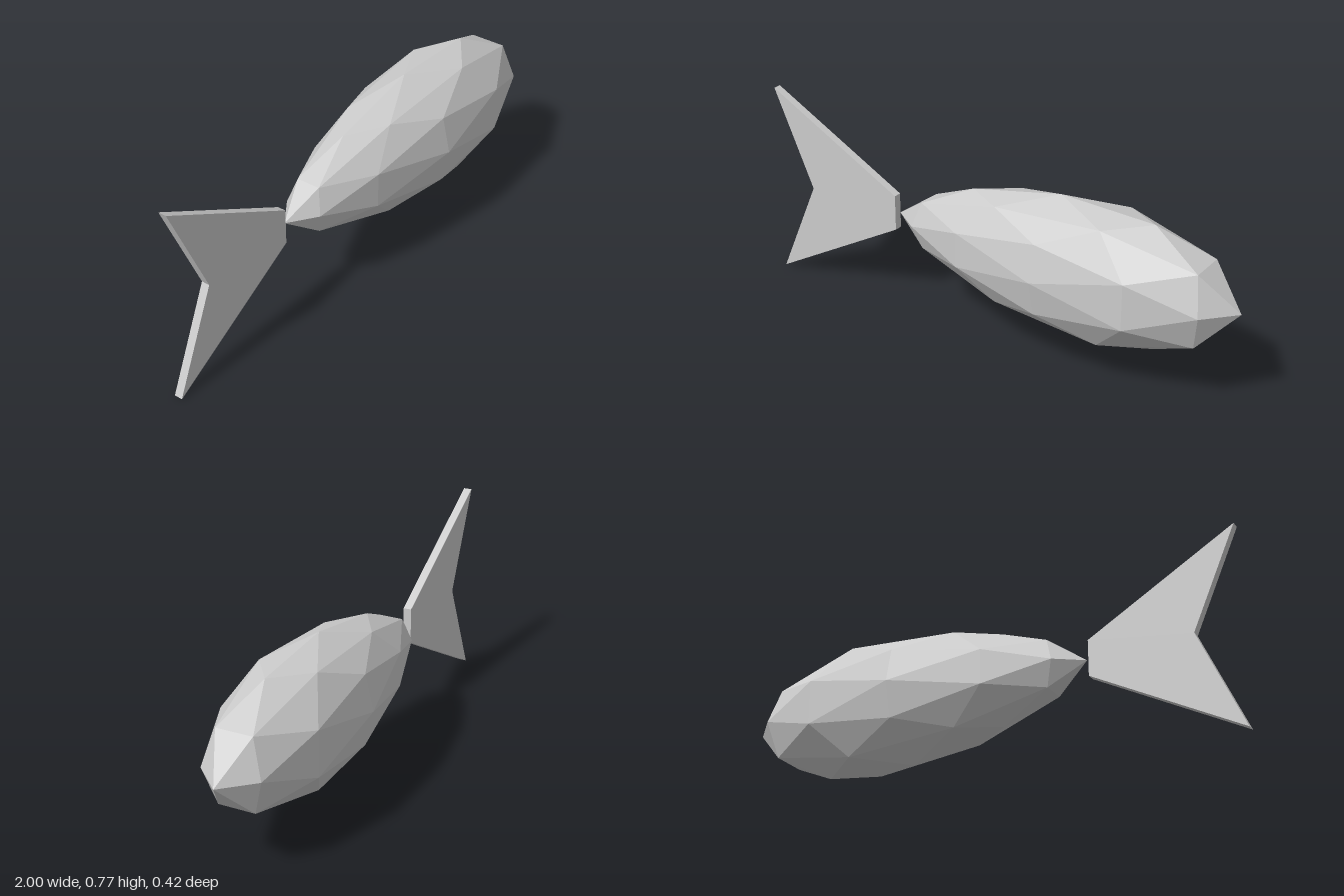
import * as THREE from 'three';

const MID_Y = 0.384;

// Girth of the body along its length: [position from tail -1 to nose +1, factor]
const GIRTH = [
  [-0.851, 0.68], [-0.809, 0.72], [-0.526, 0.84], [0, 1],
  [0.309, 1.06], [0.526, 1.095], [0.809, 1.08], [0.851, 1.02],
];

function girthAt(t) {
  if (t <= GIRTH[0][0]) return GIRTH[0][1];
  for (let i = 1; i < GIRTH.length; i++) {
    const [a, ga] = GIRTH[i - 1], [b, gb] = GIRTH[i];
    if (t <= b) return THREE.MathUtils.lerp(ga, gb, (t - a) / (b - a));
  }
  return GIRTH[GIRTH.length - 1][1];
}

// Faceted ball stretched along x, fuller at the nose and slimmer at the tail
function makeBody(material) {
  const geometry = new THREE.IcosahedronGeometry(1, 1);
  const p = geometry.attributes.position;
  for (let i = 0; i < p.count; i++) {
    const x = p.getX(i), g = girthAt(x);
    p.setXYZ(i, x * 0.709, p.getY(i) * 0.26 * g, p.getZ(i) * 0.21 * g);
  }
  geometry.computeVertexNormals();
  const body = new THREE.Mesh(geometry, material);
  body.name = 'body';
  body.position.set(0.291, MID_Y, 0);
  return body;
}

// Flat forked fin behind the body
function makeTailFin(material) {
  const outline = [
    [-0.43, 0.07], [-1, 0.384], [-0.83, 0], [-1, -0.384], [-0.43, -0.07],
  ].map(([x, y]) => new THREE.Vector2(x, y));
  const depth = 0.032;
  const geometry = new THREE.ExtrudeGeometry(new THREE.Shape(outline), { depth, bevelEnabled: false });
  geometry.translate(0, MID_Y, -depth / 2);
  const fin = new THREE.Mesh(geometry, material);
  fin.name = 'tailFin';
  return fin;
}

export function createModel() {
  const material = new THREE.MeshStandardMaterial({ color: 0xcccccc, flatShading: true });
  const fish = new THREE.Group();
  fish.name = 'fish';
  fish.add(makeBody(material), makeTailFin(material));
  return fish;
}
